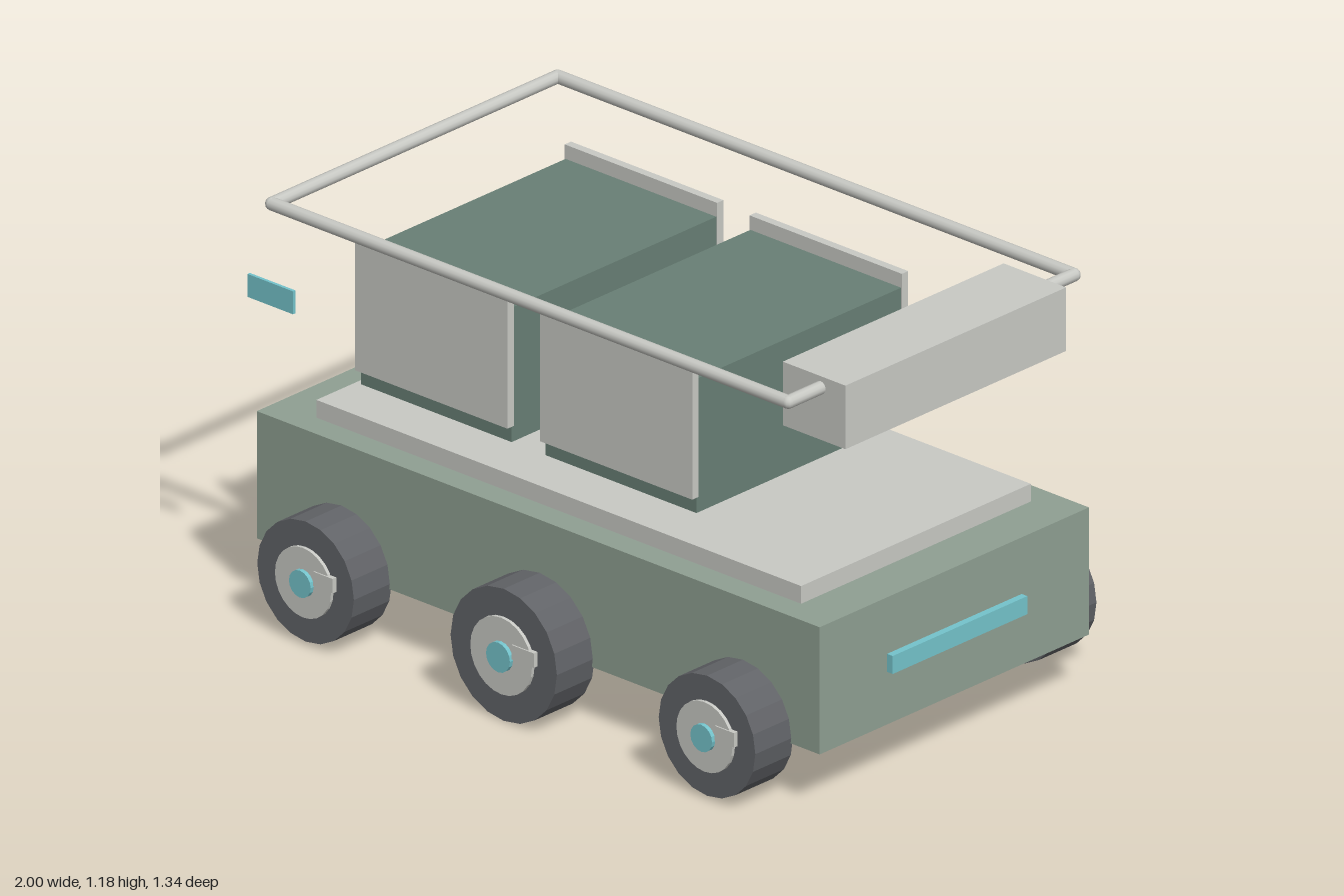
import * as THREE from 'three';

const paint = (name, color) => {
  const m = new THREE.MeshStandardMaterial({ color });
  m.name = name;
  return m;
};

export function createModel() {
  const green = paint('sageGreen', 0x8f9f92);
  const grey = paint('lightGrey', 0xc8c9c4);
  const dark = paint('darkGreen', 0x687f75);
  const rubber = paint('tyreGrey', 0x616367);
  const cyan = paint('cyan', 0x74c3cb);

  const model = new THREE.Group();
  model.name = 'sixWheeledCarrier';

  const add = (parent, name, geometry, material) => {
    const mesh = new THREE.Mesh(geometry, material);
    mesh.name = name;
    parent.add(mesh);
    return mesh;
  };

  // Box given by its limits on each axis
  const box = (parent, name, material, x0, x1, y0, y1, z0, z1) => {
    const mesh = add(parent, name, new THREE.BoxGeometry(x1 - x0, y1 - y0, z1 - z0), material);
    mesh.position.set((x0 + x1) / 2, (y0 + y1) / 2, (z0 + z1) / 2);
    return mesh;
  };

  // Disc lying along z; non-indexed with face normals for faceted sides
  const disc = (parent, name, material, radius, z0, z1, sides) => {
    const g = new THREE.CylinderGeometry(radius, radius, z1 - z0, sides).rotateX(Math.PI / 2).toNonIndexed();
    g.computeVertexNormals();
    add(parent, name, g, material).position.z = (z0 + z1) / 2;
  };

  // Hull and deck
  box(model, 'hull', green, -1, 0.98, 0.165, 0.525, -0.51, 0.51);
  box(model, 'deck', grey, -0.86, 0.845, 0.525, 0.575, -0.435, 0.435);
  box(model, 'endLight', cyan, 0.97, 1, 0.314, 0.365, -0.255, 0.255);
  box(model, 'sideMarker', cyan, -1, -0.84, 0.86, 0.925, 0.536, 0.545);

  // Cargo boxes with a panel on each side
  for (const x of [-0.48, 0.17]) {
    const cargo = new THREE.Group();
    cargo.name = 'cargoBox';
    cargo.position.x = x;
    model.add(cargo);
    box(cargo, 'container', dark, -0.265, 0.265, 0.64, 1.02, -0.39, 0.39);
    for (const s of [-1, 1]) {
      box(cargo, 'sidePanel', grey, -0.268, 0.268, 0.685, 1.06, s * 0.397 - 0.012, s * 0.397 + 0.012);
    }
  }

  // Sensor housing at the end of the rail
  box(model, 'sensorHousing', grey, 0.765, 0.985, 1.0, 1.18, -0.418, 0.418);

  // Rail frame: four bars joined by round corners
  const rail = new THREE.Group();
  rail.name = 'railFrame';
  rail.position.y = 1.148;
  model.add(rail);
  const corners = [[-0.918, 0.541], [0.898, 0.541], [0.898, -0.541], [-0.918, -0.541]];
  corners.forEach(([x, z], i) => {
    const a = new THREE.Vector3(x, 0, z);
    const [bx, bz] = corners[(i + 1) % 4];
    const b = new THREE.Vector3(bx, 0, bz);
    const bar = add(rail, 'railBar', new THREE.CylinderGeometry(0.018, 0.018, a.distanceTo(b), 12), grey);
    bar.position.copy(a).lerp(b, 0.5);
    bar.quaternion.setFromUnitVectors(new THREE.Vector3(0, 1, 0), b.sub(a).normalize());
    add(rail, 'railCorner', new THREE.SphereGeometry(0.018, 12, 8), grey).position.copy(a);
  });

  // Wheels: three each side, the middle pair larger
  for (const [x, y, r] of [[-0.702, 0.18, 0.17], [-0.005, 0.188, 0.187], [0.71, 0.18, 0.17]]) {
    for (const s of [-1, 1]) {
      const wheel = new THREE.Group();
      wheel.name = 'wheel';
      wheel.position.set(x, y, 0);
      model.add(wheel);
      const span = (z0, z1) => (s > 0 ? [z0, z1] : [-z1, -z0]);
      disc(wheel, 'tyre', rubber, r, ...span(0.503, 0.646), 20);
      disc(wheel, 'hub', grey, r * 0.58, ...span(0.63, 0.656), 24);
      disc(wheel, 'hubCap', cyan, r * 0.225, ...span(0.64, 0.668), 16);
      box(wheel, 'hubTab', grey, 0.04, r * 0.635, 0.004, 0.045, ...span(0.64, 0.66));
    }
  }

  return model;
}
